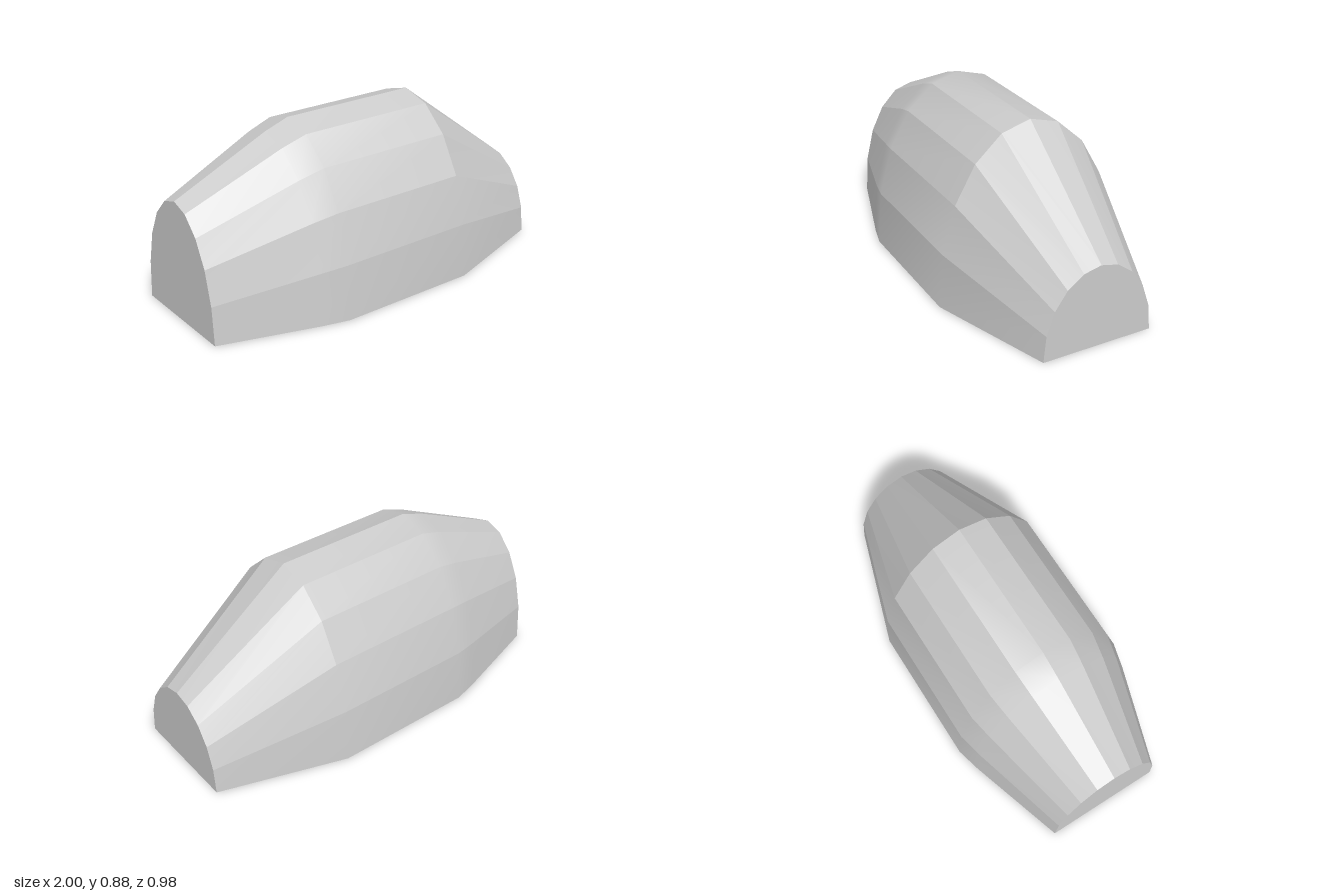
import * as THREE from 'three';
import { toCreasedNormals } from 'three/addons/utils/BufferGeometryUtils.js';

// Half of the arched cross-section: [z, y] as fractions of half width and height
const HALF = [[1, 0], [0.955, 0.317], [0.816, 0.593], [0.596, 0.808], [0.311, 0.951]];
const ARCH = [...HALF, [0, 1], ...HALF.map(([z, y]) => [-z, y]).reverse()];

// Stations along the length: [x, half width, height]
const STATIONS = [
  [-1, 0.3, 0.615],
  [-0.5, 0.457, 0.84],
  [-0.37, 0.49, 0.885],
  [0.37, 0.49, 0.885],
  [1, 0.287, 0.42],
];

function point(i, j) {
  const [x, w, h] = STATIONS[i];
  const [z, y] = ARCH[j % ARCH.length];
  return [x, y * h, z * w];
}

function build(name, triangles, material, crease) {
  const geometry = new THREE.BufferGeometry();
  geometry.setAttribute('position', new THREE.Float32BufferAttribute(triangles.flat(), 3));
  const mesh = new THREE.Mesh(toCreasedNormals(geometry, crease), material);
  mesh.name = name;
  return mesh;
}

export function createModel() {
  const group = new THREE.Group();
  group.name = 'archedHull';
  const grey = new THREE.MeshStandardMaterial({ color: 0xcccccc });
  grey.name = 'light grey';

  // Lengthwise facets: smooth along x, sharp between neighbours; the last is the flat base
  const crease = THREE.MathUtils.degToRad(22);
  for (let j = 0; j < ARCH.length; j++) {
    const triangles = [];
    for (let i = 0; i < STATIONS.length - 1; i++) {
      const a = point(i, j), b = point(i + 1, j);
      const c = point(i + 1, j + 1), d = point(i, j + 1);
      triangles.push(a, b, c, a, c, d);
    }
    const name = j === ARCH.length - 1 ? 'base' : `shellFacet${j + 1}`;
    group.add(build(name, triangles, grey, crease));
  }

  // Flat arched end walls
  for (const [name, i] of [['rightEnd', 0], ['leftEnd', STATIONS.length - 1]]) {
    const triangles = [];
    for (let j = 1; j < ARCH.length - 1; j++) {
      const p = point(i, j), q = point(i, j + 1);
      triangles.push(point(i, 0), ...(i === 0 ? [p, q] : [q, p]));
    }
    group.add(build(name, triangles, grey, 0.1));
  }
  return group;
}
